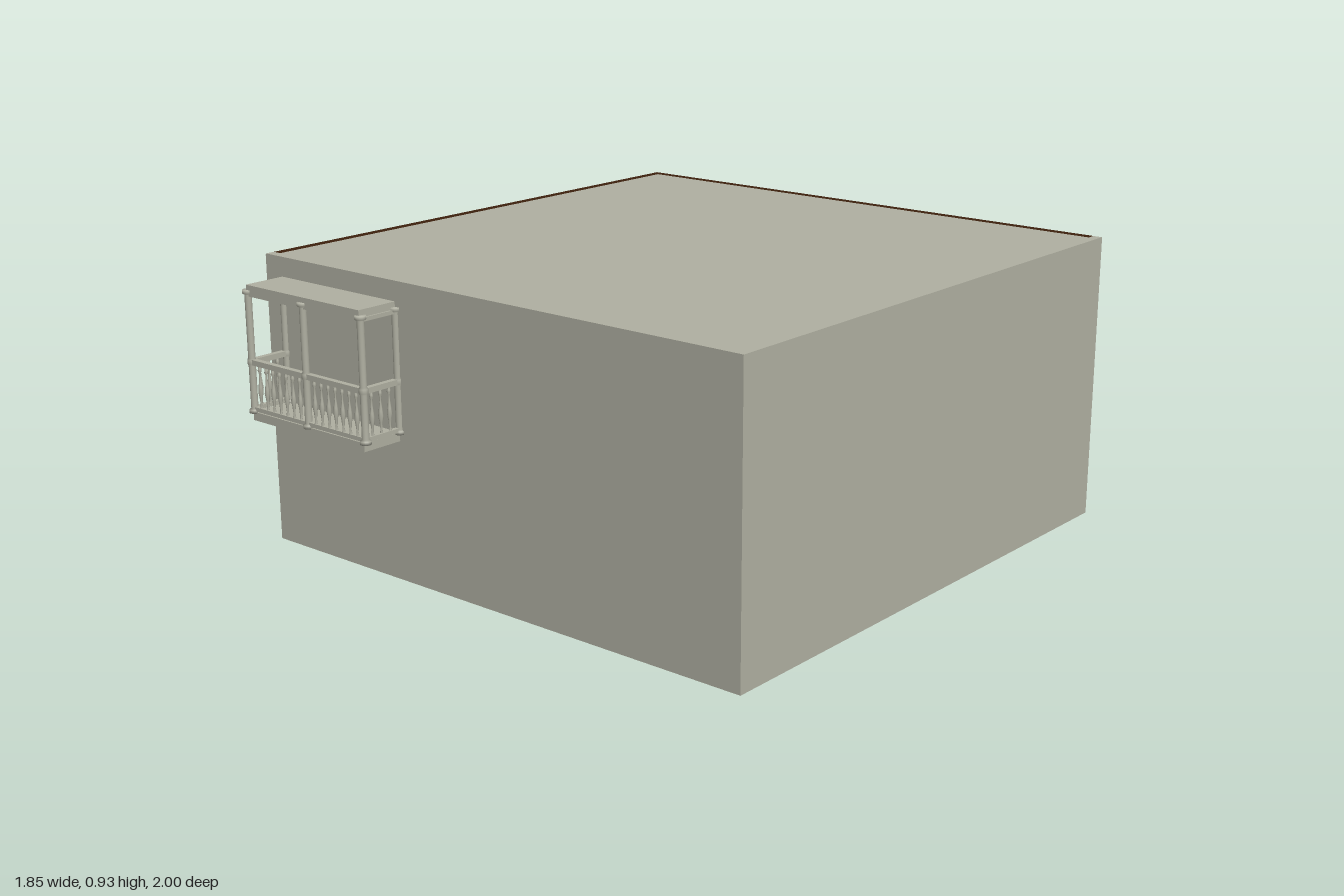
import * as THREE from 'three';

const stone = new THREE.MeshStandardMaterial({ color: 0xb0b0a2 });
stone.name = 'stone beige';
const brown = new THREE.MeshStandardMaterial({ color: 0x3c200d });
brown.name = 'dark brown';

// Box given by its min and max corners
function block(parent, name, mat, [x0, y0, z0], [x1, y1, z1]) {
  const m = new THREE.Mesh(new THREE.BoxGeometry(x1 - x0, y1 - y0, z1 - z0), mat);
  m.position.set((x0 + x1) / 2, (y0 + y1) / 2, (z0 + z1) / 2);
  m.name = name;
  parent.add(m);
}

// Turned part from [radius, height] pairs
function turned(parent, name, profile, sides, x, z) {
  const pts = profile.map(([r, y]) => new THREE.Vector2(r, y));
  const m = new THREE.Mesh(new THREE.LatheGeometry(pts, sides), stone);
  m.position.set(x, 0, z);
  m.name = name;
  parent.add(m);
}

const W = 0.923, H = 0.925, T = 0.03, ZB = -1, ZF = 0.847;

function createShell() {
  const g = new THREE.Group();
  g.name = 'building';
  block(g, 'frontWall', stone, [-W, 0, ZF - T], [W, H, ZF]);
  block(g, 'rightWall', stone, [W - T, 0, ZB], [W, H, ZF - T]);
  block(g, 'roof', stone, [-W + T, H - T, ZB + T], [W - T, H, ZF - T]);
  block(g, 'backWall', brown, [-W, 0, ZB], [W - T, H, ZB + T]);
  block(g, 'sideWall', brown, [-W, 0, ZB + T], [-W + T, H, ZF - T]);

  // Thin frame strips on the two panelled walls
  const f = 0.036, e = 0.002, top = H - 0.004;
  for (let i = 0; i < 4; i++) {
    const x = -W + (i * (2 * W - f)) / 3;
    block(g, 'backMullion', stone, [x, 0, ZB - e], [x + f, top, ZB]);
    const z = ZB + (i * (ZF - ZB - f)) / 3;
    if (i > 0) block(g, 'sideMullion', stone, [-W - e, 0, z], [-W, top, z + f]);
  }
  for (const [y0, y1] of [[0.43, 0.462], [H - 0.036, top]]) {
    block(g, 'backTransom', stone, [-W, y0, ZB - e], [W, y1, ZB]);
    block(g, 'sideTransom', stone, [-W - e, y0, ZB + T], [-W, y1, ZF]);
  }
  return g;
}

function createBalcony() {
  const g = new THREE.Group();
  g.name = 'balcony';
  const xs = [-0.852, -0.602, -0.352], zp = 0.98;
  const [xl, xm, xr] = xs;

  // Floor and canopy
  block(g, 'floorSlab', stone, [xl, 0.44, ZF], [xr, 0.467, zp + 0.006]);
  block(g, 'canopy', stone, [xl, 0.838, ZF], [xr, 0.863, zp + 0.006]);

  // Round posts with base, rail collar and capital
  const post = [
    [0, 0.463], [0.017, 0.463], [0.017, 0.473], [0.011, 0.478], [0.011, 0.612],
    [0.014, 0.617], [0.014, 0.63], [0.011, 0.635], [0.011, 0.832], [0.017, 0.836],
    [0.017, 0.847], [0, 0.847],
  ];
  for (const x of xs) turned(g, 'post', post, 16, x, zp);
  for (const x of [xl, xr]) turned(g, 'wallPost', post, 16, x, ZF);

  // Rails along the front and both sides
  for (const [name, y0, y1, h] of [
    ['handrail', 0.615, 0.632, 0.009],
    ['bottomRail', 0.47, 0.483, 0.007],
    ['topBeam', 0.828, 0.84, 0.006],
  ]) {
    block(g, name, stone, [xl, y0, zp - h], [xr, y1, zp + h]);
    for (const x of [xl, xr]) block(g, name, stone, [x - h, y0, ZF], [x + h, y1, zp]);
  }

  // Balusters
  const baluster = [
    [0.005, 0.48], [0.003, 0.495], [0.005, 0.515], [0.008, 0.535], [0.006, 0.55],
    [0.003, 0.575], [0.003, 0.592], [0.006, 0.6], [0.005, 0.606], [0.003, 0.617],
  ];
  for (const mid of [(xl + xm) / 2, (xm + xr) / 2]) {
    for (let i = -3; i <= 3; i++) turned(g, 'baluster', baluster, 8, mid + i * 0.0305, zp);
  }
  for (const x of [xl, xr]) {
    for (let i = -1; i <= 1; i++) turned(g, 'sideBaluster', baluster, 8, x, 0.918 + i * 0.034);
  }
  return g;
}

export function createModel() {
  const model = new THREE.Group();
  model.name = 'houseWithBalcony';
  model.add(createShell(), createBalcony());
  return model;
}
